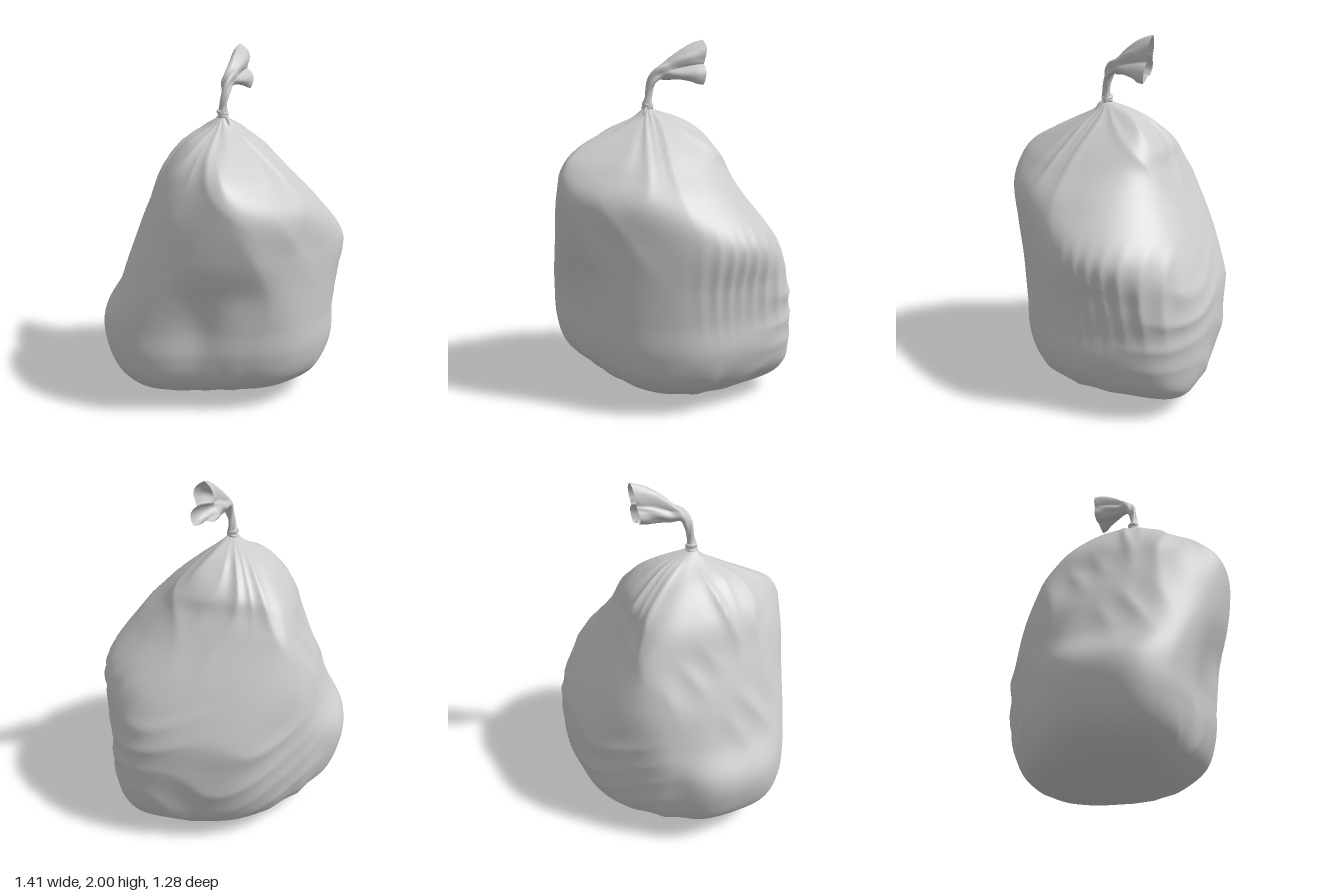
import * as THREE from 'three';

// Bag cross-sections: height, then the reach in eight compass directions
// (+x, +x+z, +z, -x+z, -x, -x-z, -z, +x-z)
const ROWS = [
  [0.00, 0.13, 0.08, 0.10, 0.10, 0.10, 0.12, 0.15, 0.15],
  [0.04, 0.36, 0.29, 0.23, 0.32, 0.30, 0.32, 0.40, 0.45],
  [0.10, 0.50, 0.43, 0.35, 0.53, 0.47, 0.46, 0.53, 0.65],
  [0.20, 0.59, 0.54, 0.45, 0.65, 0.62, 0.54, 0.59, 0.73],
  [0.35, 0.64, 0.585, 0.50, 0.70, 0.69, 0.58, 0.62, 0.745],
  [0.52, 0.64, 0.585, 0.515, 0.705, 0.70, 0.59, 0.63, 0.74],
  [0.70, 0.66, 0.585, 0.55, 0.67, 0.60, 0.585, 0.61, 0.72],
  [0.93, 0.69, 0.585, 0.615, 0.61, 0.52, 0.56, 0.51, 0.655],
  [1.15, 0.535, 0.575, 0.645, 0.56, 0.43, 0.49, 0.39, 0.48],
  [1.30, 0.39, 0.47, 0.62, 0.50, 0.38, 0.41, 0.31, 0.37],
  [1.40, 0.29, 0.36, 0.53, 0.43, 0.32, 0.33, 0.27, 0.31],
  [1.50, 0.17, 0.23, 0.32, 0.31, 0.23, 0.21, 0.18, 0.22],
  [1.57, 0.08, 0.13, 0.18, 0.17, 0.12, 0.10, 0.08, 0.10],
  [1.62, 0.01, 0.08, 0.12, 0.11, 0.05, -0.02, -0.06, -0.05],
];

// Hollows between the bulges: x, y, z, spread, height spread, depth
const DENTS = [
  [-0.18, 0.50, 0.50, 0.13, 0.28, 0.035],
  [-0.54, 0.50, -0.18, 0.10, 0.30, 0.025],
  [0.12, 0.72, 0.55, 0.16, 0.14, 0.015],
];

const { sin, cos, abs, exp, PI } = Math;
const smooth = THREE.MathUtils.smoothstep;
const band = (v, a, b, c, d) => smooth(v, a, b) * (1 - smooth(v, c, d));
const ridge = (t) => 0.64 - abs(sin(t)); // sharp crest, wide valley

function catmull(a, b, c, d, t) {
  return 0.5 * (2 * b + (c - a) * t + (2 * a - 5 * b + 4 * c - d) * t * t + (3 * b - a - 3 * c + d) * t ** 3);
}

// Interpolated row at t in 0..1
function rowAt(t) {
  const f = t * (ROWS.length - 1);
  const i = Math.min(Math.floor(f), ROWS.length - 2);
  const at = (k) => ROWS[THREE.MathUtils.clamp(k, 0, ROWS.length - 1)];
  return ROWS[0].map((_, k) => catmull(at(i - 1)[k], at(i)[k], at(i + 1)[k], at(i + 2)[k], f - i));
}

// Soft-cornered outline touching all eight reach lines
function outline(reach, count, fullness) {
  const corners = reach.map((h, k) => {
    const a = (k * PI) / 4;
    const t = (reach[(k + 1) % 8] - h * cos(PI / 4)) / sin(PI / 4);
    return new THREE.Vector2(h * cos(a) - t * sin(a), h * sin(a) + t * cos(a));
  });
  const arcs = corners.map((c, k) => {
    const p = corners[(k + 7) % 8].clone().lerp(c, 0.5);
    const q = corners[(k + 1) % 8].clone().lerp(c, 0.5);
    return new THREE.CubicBezierCurve(p, p.clone().lerp(c, fullness), q.clone().lerp(c, fullness), q);
  });
  return arcs.flatMap((arc) => arc.getPoints(count / 8).slice(0, -1));
}

// Skin over closed rings of equal length
function loft(rings) {
  const n = rings[0].length, pos = [], index = [];
  rings.forEach((ring) => ring.forEach((p) => pos.push(p.x, p.y, p.z)));
  for (let j = 0; j < rings.length - 1; j++) {
    for (let i = 0; i < n; i++) {
      const a = j * n + i, b = j * n + ((i + 1) % n);
      index.push(a, a + n, b, b, a + n, b + n);
    }
  }
  const g = new THREE.BufferGeometry();
  g.setAttribute('position', new THREE.Float32BufferAttribute(pos, 3));
  g.setIndex(index);
  g.computeVertexNormals();
  return g;
}

// Height of the creases at a point of the bag
function crease(x, y, z) {
  const a = Math.atan2(z - 0.09, x + 0.02);
  const warp = sin(3 * a + 4 * y) + 0.6 * sin(5 * a - 7 * y + 1);
  const patch = 0.5 + 0.5 * sin(4 * a + 5 * y + 2 * sin(3 * y + a)); // breaks up long folds
  let d = 0;
  // gathers running down from the knot
  d += 0.014 * band(y, 0.9, 1.4, 1.5, 1.62) * ridge(4 * a + 1.1 * warp);
  d += 0.011 * band(y, 1.15, 1.45, 1.54, 1.63) * ridge(8 * a + 1.6 * warp) * patch;
  // upright pleats on the +x side
  d += 0.014 * band(y, 0.35, 0.75, 0.8, 1.08) * band(z, -0.6, -0.35, 0.0, 0.3) * smooth(x, 0.25, 0.55)
    * ridge(z * 36 + 0.8 * sin(6 * y) + 0.8 * sin(9 * z));
  // slack cross folds low on the back
  d += 0.013 * band(y, 0.08, 0.3, 0.6, 1.0) * smooth(-z, 0.1, 0.55) * (0.3 + 0.7 * patch)
    * ridge(y * 17 + 2.5 * sin(3 * x + 1) + 1.5 * sin(7 * x + 6 * y));
  // slanting crumples on the -x side
  d += 0.014 * band(y, 0.45, 0.85, 1.1, 1.45) * smooth(-x, 0.05, 0.5) * patch
    * ridge(z * 11 + y * 4 + 1.5 * sin(6 * y + 5 * z));
  // faint slanting drapes on the front
  d += 0.010 * band(y, 0.3, 0.7, 1.0, 1.3) * smooth(z, 0.2, 0.5) * patch
    * ridge(x * 9 + y * 3 + sin(5 * y + 4 * x));
  // puckers under the base
  d += 0.012 * band(y, 0.0, 0.06, 0.15, 0.35) * ridge(5 * a + warp);
  for (const [cx, cy, cz, w, h, depth] of DENTS) {
    d -= depth * exp(-((x - cx) ** 2 + (z - cz) ** 2) / w ** 2 - ((y - cy) / h) ** 2);
  }
  return d;
}

function bagGeometry() {
  const around = 224, up = 130, rings = [];
  for (let j = 0; j <= up; j++) {
    const [y, ...reach] = rowAt(j / up);
    const pts = outline(reach, around, 0.8 - 0.12 * smooth(y, 0.6, 1.2));
    const mid = pts.reduce((s, p) => s.add(p), new THREE.Vector2()).divideScalar(around);
    if (j === 0) rings.push(pts.map(() => new THREE.Vector3(mid.x, 0, mid.y)));
    rings.push(pts.map((p) => {
      const out = p.clone().sub(mid).normalize();
      p.addScaledVector(out, crease(p.x, y, p.y));
      return new THREE.Vector3(p.x, Math.max(y, 0), p.y);
    }));
  }
  return loft(rings);
}

// Twisted neck opening into a crumpled flap
function tailGeometry() {
  const path = new THREE.CatmullRomCurve3([
    [-0.02, 1.59, 0.09], [-0.015, 1.67, 0.092], [-0.002, 1.755, 0.08], [0.012, 1.812, 0.045],
    [0.04, 1.835, -0.03], [0.07, 1.858, -0.12], [0.088, 1.866, -0.19],
  ].map((p) => new THREE.Vector3(...p)));
  const mouth = [0.04, 0.055, 0.105, 0.135, 0.085, 0.05, 0.055, 0.085, 0.09, 0.075, 0.125, 0.09];
  const X = new THREE.Vector3(1, 0, 0), steps = 40, n = 48, rings = [];
  for (let j = 0; j <= steps; j++) {
    const t = j / steps, c = path.getPoint(t);
    const T = path.getTangent(t).setX(0).normalize();
    const V = X.clone().cross(T);
    const open = smooth(t, 0.42, 1.02);
    const round = 0.028 - 0.008 * band(t, 0.08, 0.2, 0.25, 0.45) + 0.004 * smooth(t, 0.4, 0.55);
    const ring = [];
    for (let i = 0; i < n; i++) {
      const a = (i / n) * 2 * PI, f = (i / n) * 12, k = Math.floor(f);
      const end = THREE.MathUtils.lerp(mouth[k], mouth[(k + 1) % 12], f - k);
      const twist = 1 + 0.18 * sin(3 * a + 22 * t) * (1 - open);
      const r = THREE.MathUtils.lerp(round * twist, end, open) * (1 + 0.48 * open * (1 - open) * sin(5 * a + 6 * t));
      ring.push(c.clone().addScaledVector(X, r * cos(a)).addScaledVector(V, r * sin(a))
        .addScaledVector(T, 0.25 * open * r * sin(a)));
    }
    rings.push(ring);
  }
  return loft(rings);
}

export function createModel() {
  const group = new THREE.Group();
  const material = new THREE.MeshStandardMaterial({ color: 0xcccccc, roughness: 0.7, side: THREE.DoubleSide });
  const add = (name, geometry) => {
    const mesh = new THREE.Mesh(geometry, material);
    mesh.name = name;
    group.add(mesh);
    return mesh;
  };
  add('bag', bagGeometry());
  add('tiedTail', tailGeometry());
  // two crossed loops make the knot
  [0.25, -0.3].forEach((tilt, i) => {
    const loop = add('knotLoop', new THREE.TorusGeometry(0.022, 0.011, 8, 24));
    loop.position.set(-0.02, 1.625 + 0.02 * i, 0.09);
    loop.rotation.set(PI / 2, tilt, 0);
  });
  // loose end hanging from the knot
  const end = new THREE.CatmullRomCurve3([
    new THREE.Vector3(-0.01, 1.63, 0.1), new THREE.Vector3(0.01, 1.61, 0.125), new THREE.Vector3(0.015, 1.57, 0.14),
  ]);
  add('looseEnd', new THREE.TubeGeometry(end, 10, 0.009, 6));
  return group;
}
